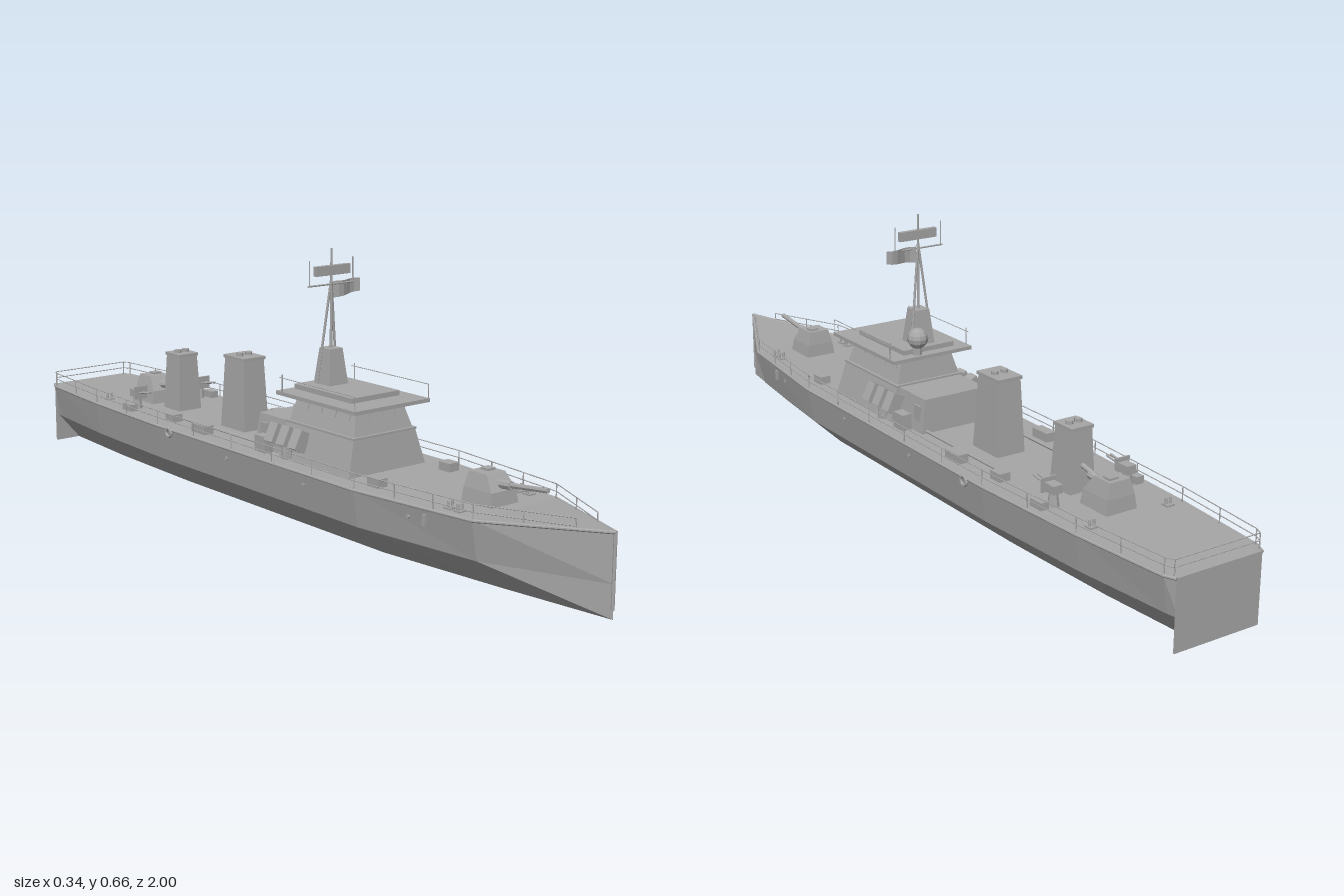
import * as THREE from 'three';

const navyGrey = new THREE.MeshStandardMaterial({ color: 0xa6a6a6, flatShading: true, side: THREE.DoubleSide });
navyGrey.name = 'navyGrey';
const DECK = 0.168;

export function createModel() {
  const ship = new THREE.Group();
  ship.name = 'patrolShip';

  function add(name, geo, x = 0, y = 0, z = 0, parent = ship) {
    const m = new THREE.Mesh(geo, navyGrey);
    m.name = name;
    m.position.set(x, y, z);
    parent.add(m);
    return m;
  }
  const box = (name, w, h, d, x, y, z, parent) => add(name, new THREE.BoxGeometry(w, h, d), x, y, z, parent);

  // Straight rod between two points
  function rod(name, a, b, r, parent, r2 = r) {
    const p = new THREE.Vector3(...a), q = new THREE.Vector3(...b);
    const m = add(name, new THREE.CylinderGeometry(r2, r, p.distanceTo(q), 8), 0, 0, 0, parent);
    m.position.copy(p).add(q).multiplyScalar(0.5);
    m.quaternion.setFromUnitVectors(new THREE.Vector3(0, 1, 0), q.sub(p).normalize());
    return m;
  }

  // Skin through closed rings of equal length, with capped ends
  function skin(rings) {
    const pos = [], n = rings[0].length;
    const tri = (...p) => {
      const [a, b, c] = p.map(v => new THREE.Vector3(...v));
      if (b.clone().sub(a).cross(c.clone().sub(a)).length() > 1e-8) pos.push(...p.flat());
    };
    for (let r = 0; r + 1 < rings.length; r++) {
      const A = rings[r], B = rings[r + 1];
      for (let i = 0; i < n; i++) {
        const j = (i + 1) % n;
        tri(A[i], A[j], B[j]);
        tri(A[i], B[j], B[i]);
      }
    }
    const end = rings[rings.length - 1];
    for (let i = 1; i + 1 < n; i++) {
      tri(rings[0][0], rings[0][i + 1], rings[0][i]);
      tri(end[0], end[i], end[i + 1]);
    }
    const g = new THREE.BufferGeometry();
    g.setAttribute('position', new THREE.Float32BufferAttribute(pos, 3));
    g.computeVertexNormals();
    return g;
  }

  // Sloped block: each level is [y, halfWidth, zBack, zFront]
  const block = (name, levels, parent) => add(name, skin(levels.map(([y, w, zb, zf]) =>
    [[-w, y, zf], [w, y, zf], [w, y, zb], [-w, y, zb]])), 0, 0, 0, parent);

  // Hull stations: z, bottom, chine and deck half widths, deck height
  const stations = [
    [-0.998, 0.04, 0.105, 0.114, 0.166], [-0.97, 0.042, 0.11, 0.127, 0.166],
    [-0.72, 0.06, 0.135, 0.15, 0.166], [-0.4, 0.07, 0.15, 0.165, 0.166],
    [0.38, 0.07, 0.15, 0.165, 0.166], [0.72, 0.035, 0.112, 0.13, 0.169], [0.998, 0, 0, 0, 0.186]];
  add('hull', skin(stations.map(([z, k, c, d, y]) =>
    [[-k, 0, z], [k, 0, z], [c, 0.075, z], [d, y, z], [-d, y, z], [-c, 0.075, z]])));
  box('transom', 0.226, 0.166, 0.004, 0, 0.083, -0.998);
  rod('stemBar', [0, 0.02, 0.996], [0, 0.186, 0.996], 0.004);

  // Half width and height of the deck edge at any z
  function edge(z) {
    const i = Math.max(1, stations.findIndex(s => s[0] >= z));
    const a = stations[i - 1], b = stations[i], t = (z - a[0]) / (b[0] - a[0]);
    return [a[3] + (b[3] - a[3]) * t, a[4] + (b[4] - a[4]) * t];
  }

  const railZ = [-0.99, -0.97, -0.85, -0.72, -0.56, -0.4, -0.24, -0.08, 0.08, 0.23, 0.38, 0.5, 0.61, 0.72, 0.82, 0.92];
  for (const s of [-1, 1]) {
    // Rubbing strake and guard rails
    for (let i = 0; i + 1 < stations.length; i++) {
      const a = stations[i], b = stations[i + 1];
      rod('gunwale', [s * a[3], a[4] - 0.002, a[0]], [s * b[3], b[4] - 0.002, b[0]], 0.004);
    }
    railZ.forEach((z, i) => {
      const [x, y] = edge(z), px = s * (x - 0.004);
      rod('railPost', [px, y, z], [px, 0.202, z], 0.0014);
      if (i === 0) return;
      const [qx] = edge(railZ[i - 1]);
      for (const h of [0.185, 0.202]) rod('guardRail', [s * (qx - 0.004), h, railZ[i - 1]], [px, h, z], 0.0012);
    });

    // Deck lockers, bollards, hull fittings and deck pipes
    for (const z of [-0.4, 0.4]) box('deckLocker', 0.03, 0.02, 0.036, s * 0.11, DECK + 0.01, z);
    box('lifeRaftCase', 0.028, 0.022, 0.055, s * 0.126, DECK + 0.011, -0.25);
    for (const z of [-0.72, 0.63, 0.66]) {
      box('bollardBase', 0.022, 0.004, 0.02, s * 0.105, DECK + 0.002, z);
      for (const d of [-0.006, 0.006]) rod('bollard', [s * 0.105 + d, DECK, z], [s * 0.105 + d, DECK + 0.018, z], 0.003);
    }
    rod('deckPipe', [s * 0.09, DECK + 0.006, -0.4], [s * 0.09, DECK + 0.006, -0.07], 0.004);
    const ring = add('fenderRing', new THREE.TorusGeometry(0.011, 0.004, 6, 14), s * 0.168, 0.157, -0.34);
    ring.rotation.y = Math.PI / 2;
    for (const z of [-0.1, 0.2, 0.54]) {
      const x = edge(z)[0] - 0.004;
      rod('porthole', [s * (x - 0.004), 0.137, z], [s * (x + 0.002), 0.137, z], 0.005);
    }
    box('anchor', 0.006, 0.026, 0.008, s * 0.143, 0.14, 0.59);

    // Midship launcher: tilted tubes on a pedestal
    const launcher = new THREE.Group();
    launcher.name = 'launcher';
    launcher.position.set(s * 0.117, DECK, 0.085);
    ship.add(launcher);
    rod('launcherPedestal', [0, 0, 0], [0, 0.04, 0], 0.014, launcher);
    for (const z of [-0.045, 0, 0.045]) {
      const tube = box('launcherBox', 0.032, 0.048, 0.03, 0, 0.052, z, launcher);
      tube.rotation.z = s * 0.45;
    }
    box('launcherBeam', 0.018, 0.02, 0.11, 0, 0.035, 0, launcher);
    box('ammunitionBox', 0.026, 0.04, 0.04, s * 0.118, DECK + 0.02, -0.005);

    // Aft light gun
    const gun = new THREE.Group();
    gun.name = 'lightGun';
    gun.position.set(s * 0.102, DECK, -0.585);
    ship.add(gun);
    rod('gunPedestal', [0, 0, 0], [0, 0.035, 0], 0.014, gun, 0.009);
    box('gunBody', 0.026, 0.02, 0.032, 0, 0.042, 0, gun);
    box('gunShield', 0.04, 0.034, 0.004, 0, 0.045, 0.018, gun);
    for (const d of [-0.006, 0.006]) rod('gunBarrel', [d, 0.044, 0.01], [d, 0.052, 0.065], 0.0025, gun);
    box('gunLocker', 0.022, 0.018, 0.04, s * 0.132, DECK + 0.009, -0.575);
  }
  for (const h of [0.185, 0.202]) rod('sternRail', [-0.112, h, -0.99], [0.112, h, -0.99], 0.0012);

  // Bridge and aft deckhouse
  block('deckhouse', [[DECK - 0.005, 0.1, -0.065, 0.08], [0.25, 0.088, -0.06, 0.08]]);
  block('bridgeBase', [[DECK - 0.005, 0.118, 0.05, 0.312], [0.252, 0.094, 0.055, 0.3]]);
  block('bridge', [[0.252, 0.09, 0.06, 0.297], [0.318, 0.07, 0.07, 0.28]]);
  box('bridgeLedge', 0.194, 0.005, 0.25, 0, 0.252, 0.178);
  box('bridgeRoof', 0.228, 0.009, 0.29, 0, 0.32, 0.183);
  box('roofHousing', 0.146, 0.012, 0.21, 0, 0.333, 0.163);
  for (const x of [-0.058, -0.02, 0.02, 0.058]) {
    const w = box('frontWindow', 0.031, 0.021, 0.004, x, 0.298, 0.2855);
    w.rotation.x = -0.25;
  }
  for (const s of [-1, 1]) {
    for (const z of [0.1, 0.15, 0.2, 0.25]) {
      const w = box('sideWindow', 0.004, 0.021, 0.036, s * 0.0765, 0.298, z);
      w.rotation.z = s * 0.295;
    }
    box('deckhouseDoor', 0.006, 0.06, 0.026, s * 0.093, 0.2, -0.035);
    rod('whipAntenna', [s * 0.112, 0.32, 0.06], [s * 0.112, 0.366, 0.06], 0.0014);
    rod('roofRail', [s * 0.112, 0.358, 0.05], [s * 0.112, 0.358, 0.325], 0.001);
    rod('roofRailPost', [s * 0.112, 0.32, 0.325], [s * 0.112, 0.358, 0.325], 0.001);
  }

  // Mast with tripod legs, radar, yardarm and flag
  block('mastPedestal', [[0.335, 0.029, 0.075, 0.135], [0.425, 0.019, 0.085, 0.125]]);
  rod('mast', [0, 0.42, 0.105], [0, 0.662, 0.105], 0.0035, ship, 0.0025);
  for (const s of [-1, 1]) {
    rod('mastLeg', [s * 0.03, 0.338, 0.09], [0, 0.59, 0.105], 0.003);
    rod('yardAntenna', [s * 0.066, 0.575, 0.105], [s * 0.066, 0.637, 0.105], 0.0014);
  }
  rod('yardarm', [-0.07, 0.577, 0.105], [0.068, 0.577, 0.105], 0.0022);
  box('radarBar', 0.104, 0.023, 0.012, 0, 0.611, 0.108);
  const flagGeo = new THREE.PlaneGeometry(0.086, 0.036, 6, 1);
  const p = flagGeo.attributes.position;
  for (let i = 0; i < p.count; i++) {
    const t = p.getX(i) / 0.086 + 0.5;
    p.setZ(i, Math.sin(t * 6) * 0.007);
    p.setY(i, p.getY(i) + (p.getY(i) < 0 ? t * 0.008 - 0.004 : 0));
  }
  add('flag', flagGeo, 0.052, 0.565, 0.1);
  add('radarDome', new THREE.SphereGeometry(0.026, 10, 8), 0.036, 0.367, 0.053);
  rod('domeStand', [0.036, 0.325, 0.055], [0.036, 0.35, 0.055], 0.012);

  // Funnels with rim and exhaust pipes
  for (const [z, h, w, d] of [[-0.24, 0.355, 0.039, 0.05], [-0.52, 0.32, 0.035, 0.037]]) {
    block('funnel', [[DECK - 0.004, w, z - d, z + d], [h - 0.008, w * 0.8, z - d * 0.8, z + d * 0.8]]);
    box('funnelRim', w * 1.75, 0.008, d * 1.75, 0, h - 0.006, z);
    for (const s of [-1, 1]) rod('exhaustPipe', [s * w * 0.35, h - 0.01, z], [s * w * 0.35, h + 0.006, z], 0.009);
  }

  // Main guns; the aft mount is shorter
  for (const [z, muzzle, h] of [[0.642, 0.812, 0.235], [-0.647, -0.555, 0.236]]) {
    block('gunTurret', [[DECK - 0.004, 0.042, z - 0.045, z + 0.047], [0.2, 0.037, z - 0.042, z + 0.042],
      [h, 0.028, z - 0.036, z + 0.018]]);
    box('turretHatch', 0.024, 0.006, 0.022, 0.008, h + 0.002, z - 0.014);
    rod('barrelSleeve', [0, 0.212, z + 0.015], [0, 0.217, z + 0.065], 0.01);
    rod('mainBarrel', [0, 0.212, z + 0.015], [0, 0.229, muzzle], 0.006);
  }
  return ship;
}
